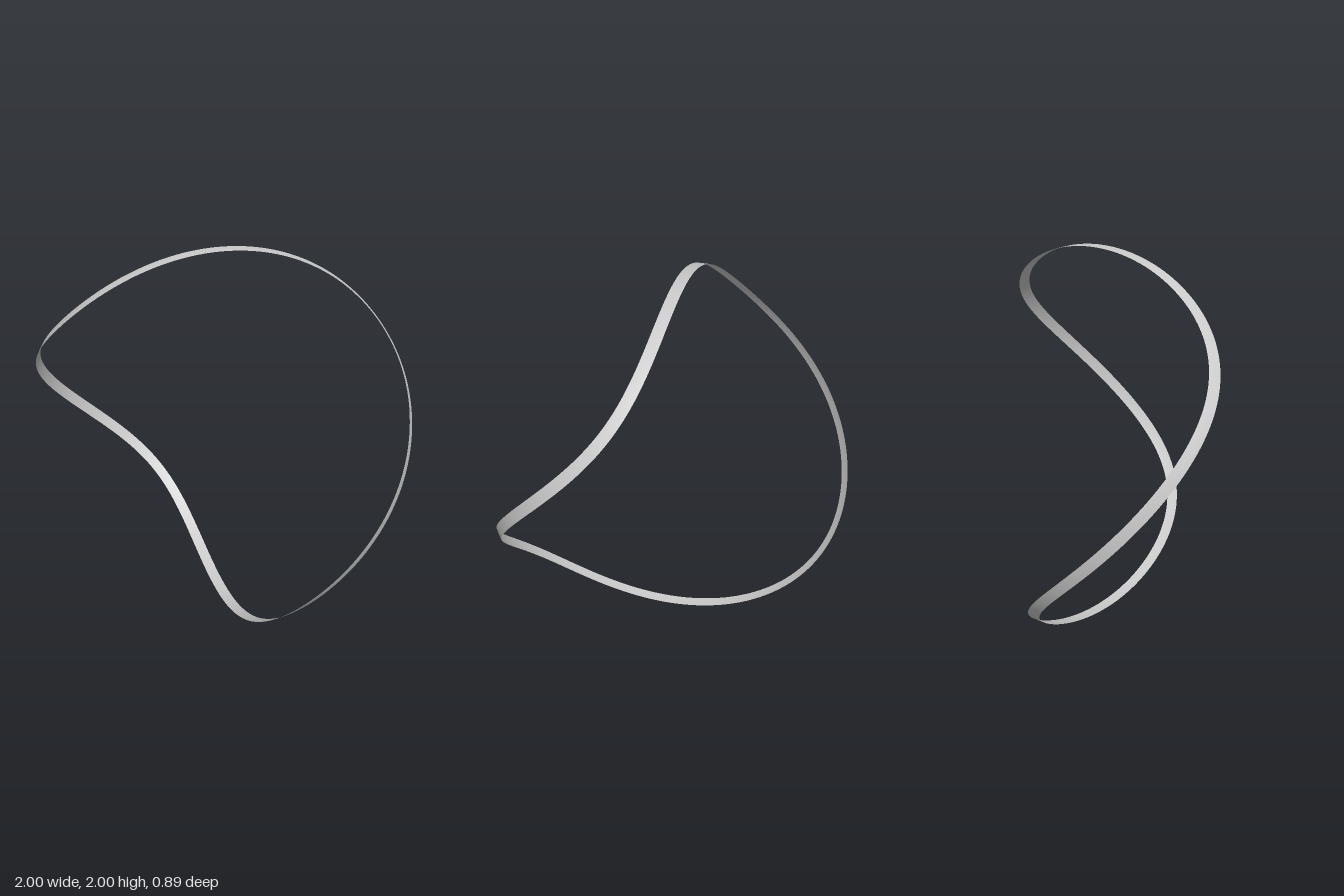
import * as THREE from 'three';
import { ParametricGeometry } from 'three/addons/geometries/ParametricGeometry.js';

const SWING = 0.46;      // how far the band weaves front to back
const HALF_WIDTH = 0.03;

// Centre line: a four-lobed wave wrapped round a unit sphere
function centreLine(t) {
  return new THREE.Vector3(Math.cos(t), Math.sin(t), -SWING * Math.sin(2 * t)).normalize();
}

// Point on the band: u runs along the loop, v across its width
function bandPoint(u, v, target) {
  const t = u * Math.PI * 2;
  const p = centreLine(t);
  const tangent = centreLine(t + 1e-3).sub(centreLine(t - 1e-3)).normalize();
  const across = tangent.cross(p).normalize();
  target.copy(p).addScaledVector(across, (v - 0.5) * 2 * HALF_WIDTH).normalize();
}

export function createModel() {
  const group = new THREE.Group();
  group.name = 'sphericalLoop';

  // Thin closed ribbon lying on the sphere
  const material = new THREE.MeshStandardMaterial({ color: 0xcccccc, side: THREE.DoubleSide });
  const ribbon = new THREE.Mesh(new ParametricGeometry(bandPoint, 256, 2), material);
  ribbon.name = 'ribbon';
  ribbon.position.y = 1;
  group.add(ribbon);
  return group;
}
